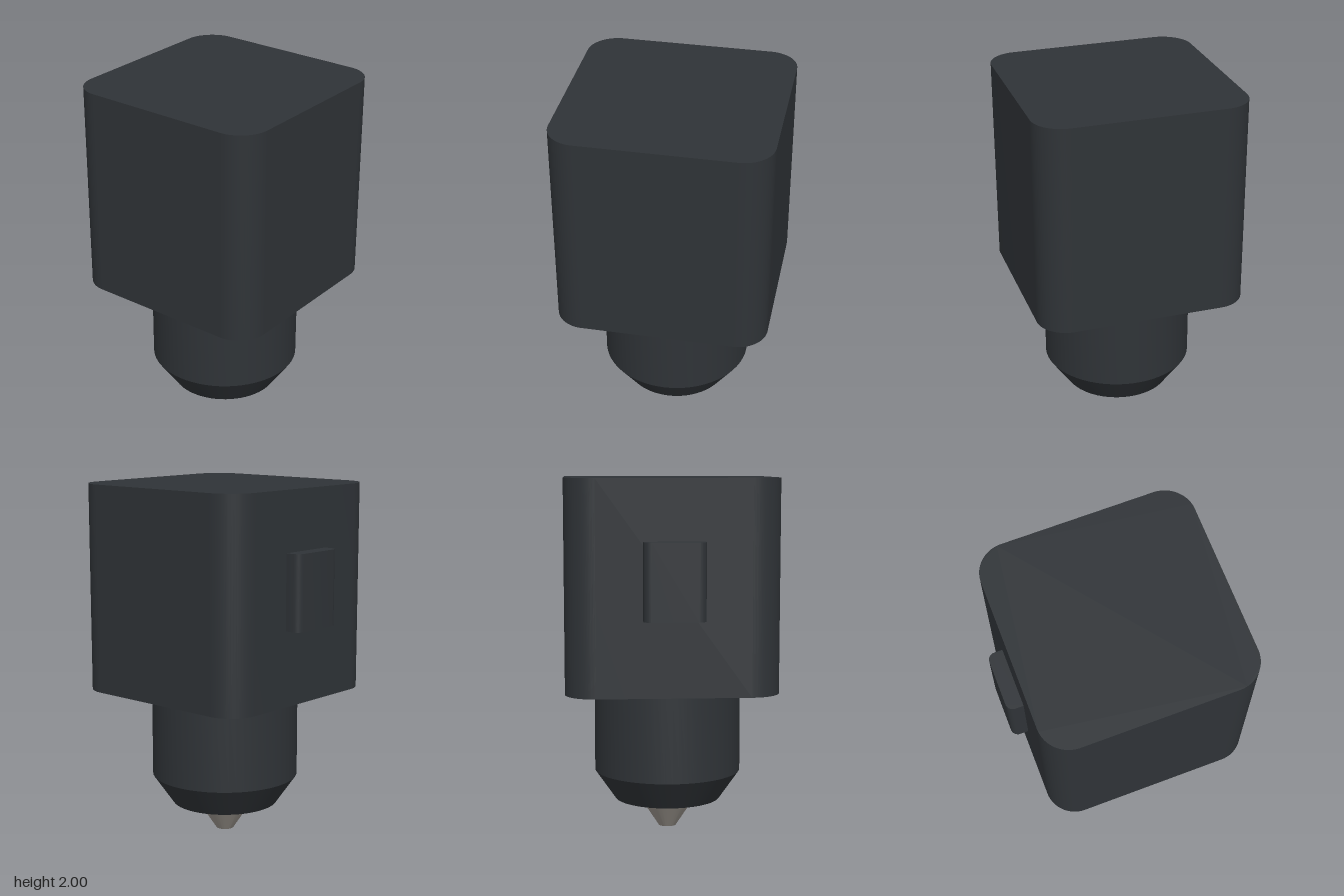
import * as THREE from 'three';
import { toCreasedNormals } from 'three/addons/utils/BufferGeometryUtils.js';

const AXIS_X = 0.04; // the body sits off centre because of the side tab

// Upright block with rounded vertical edges
function roundedPrism(x0, x1, halfDepth, r, y0, y1) {
  const s = new THREE.Shape();
  const d = halfDepth;
  s.moveTo(x0 + r, -d);
  s.lineTo(x1 - r, -d);
  s.absarc(x1 - r, -d + r, r, -Math.PI / 2, 0);
  s.lineTo(x1, d - r);
  s.absarc(x1 - r, d - r, r, 0, Math.PI / 2);
  s.lineTo(x0 + r, d);
  s.absarc(x0 + r, d - r, r, Math.PI / 2, Math.PI);
  s.lineTo(x0, -d + r);
  s.absarc(x0 + r, -d + r, r, Math.PI, Math.PI * 1.5);
  const g = new THREE.ExtrudeGeometry(s, { depth: y1 - y0, bevelEnabled: false, curveSegments: 16 });
  g.rotateX(-Math.PI / 2).translate(0, y0, 0);
  return toCreasedNormals(g, 0.4);
}

// Turned part with crisp profile corners
function turned(profile) {
  const g = new THREE.LatheGeometry(profile.map(([r, y]) => new THREE.Vector2(r, y)), 64);
  g.translate(AXIS_X, 0, 0);
  return toCreasedNormals(g, 0.4);
}

export function createModel() {
  const group = new THREE.Group();
  const housingMat = new THREE.MeshStandardMaterial({ color: 0x2f3337 });
  const nozzleMat = new THREE.MeshStandardMaterial({ color: 0x9c968e });

  const add = (name, geometry, material) => {
    const mesh = new THREE.Mesh(geometry, material);
    mesh.name = name;
    group.add(mesh);
  };

  // Main square housing
  add('housing', roundedPrism(-0.54, 0.62, 0.58, 0.165, 0.84, 2), housingMat);

  // Small tab on the right side
  add('sideTab', roundedPrism(-0.625, -0.5, 0.165, 0.04, 1.255, 1.67), housingMat);

  // Round collar with a tapered lower end
  add('collar', turned([[0, 0.17], [0.3, 0.17], [0.415, 0.335], [0.415, 0.84]]), housingMat);

  // Metal nozzle with a fine bore in its tip
  add('nozzle', turned([
    [0, 0.06], [0.018, 0.06], [0.018, 0], [0.05, 0], [0.132, 0.125], [0.132, 0.18],
  ]), nozzleMat);

  return group;
}
